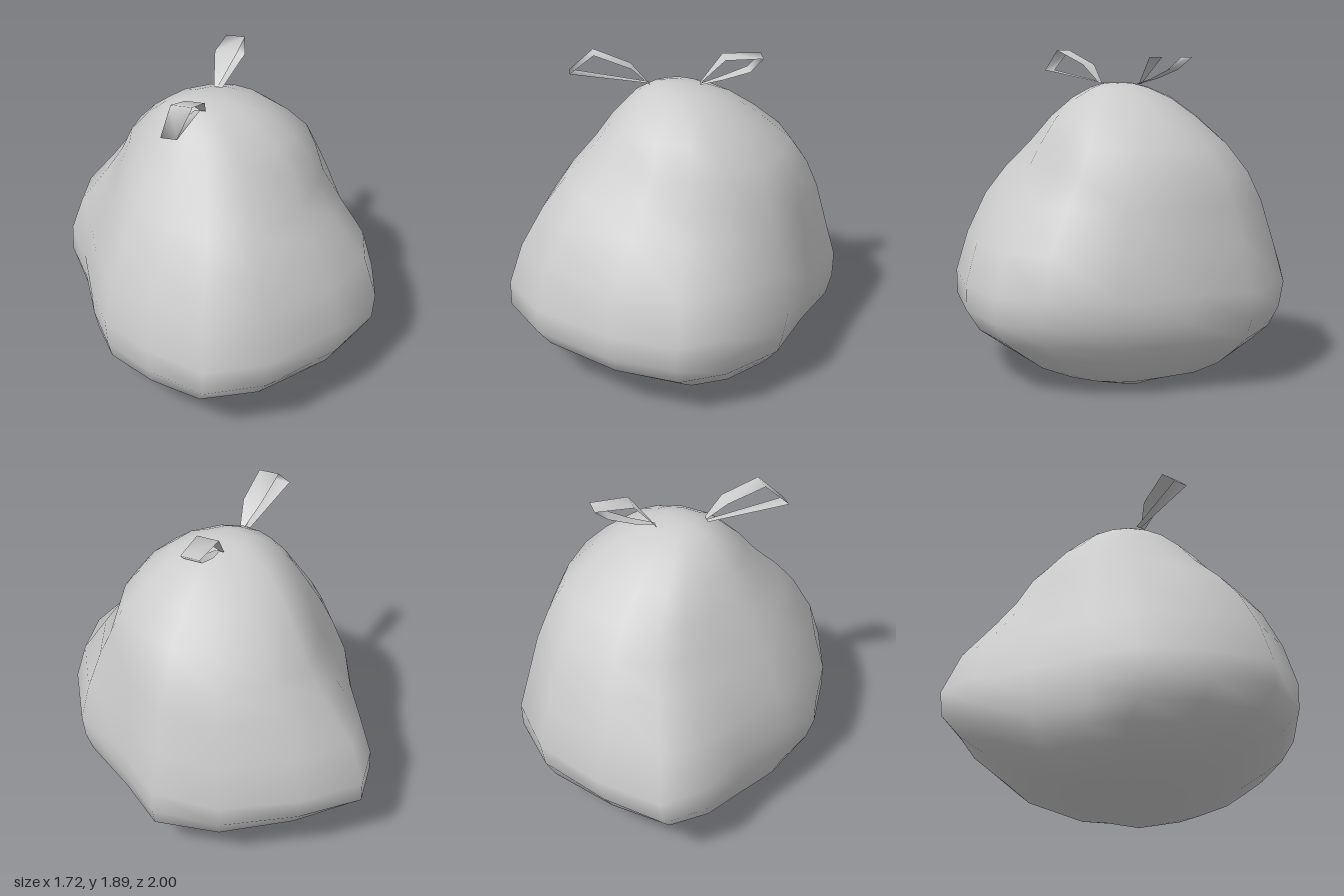
import * as THREE from 'three';

// Plan outline of the sack at its widest, clockwise seen from above: [x, z]
const OUTLINE = [
  [-0.23, -1], [0.23, -0.96], [0.56, -0.75], [0.67, -0.4], [0.86, -0.02], [0.83, 0.4],
  [0.7, 0.68], [0.35, 0.88], [-0.15, 1], [-0.51, 0.93], [-0.72, 0.63], [-0.86, 0.3],
  [-0.84, -0.02], [-0.76, -0.38], [-0.74, -0.7], [-0.61, -0.94],
];

// Extent of each level: [y, xMin, xMax, zMin, zMax]
const LEVELS = [
  [0.003, -0.43, 0.44, -0.3, 0.12],
  [0.05, -0.6, 0.56, -0.54, 0.41],
  [0.12, -0.72, 0.64, -0.7, 0.62],
  [0.2, -0.79, 0.71, -0.79, 0.76],
  [0.29, -0.83, 0.79, -0.885, 0.91],
  [0.41, -0.855, 0.835, -0.96, 0.998],
  [0.56, -0.86, 0.855, -1, 1],
  [0.8, -0.81, 0.8, -0.935, 0.93],
  [1.04, -0.715, 0.73, -0.86, 0.82],
  [1.2, -0.635, 0.665, -0.78, 0.7],
  [1.36, -0.535, 0.58, -0.65, 0.54],
  [1.51, -0.435, 0.43, -0.475, 0.41],
  [1.62, -0.34, 0.29, -0.32, 0.28],
  [1.68, -0.24, 0.15, -0.18, 0.17],
  [1.705, -0.16, 0.03, -0.08, 0.09],
];

// Dents and bulges at the corners: [x sign, z sign, amount, height, spread]
const BUMPS = [
  [1, 1, -0.2, 1.16, 0.2],
  [-1, -1, -0.11, 1.15, 0.2],
  [-1, -1, 0.03, 0.4, 0.15],
  [1, -1, 0.08, 0.25, 0.2],
  [1, 1, 0.06, 0.1, 0.15],
];

function makeGeometry(positions, indices) {
  const geometry = new THREE.BufferGeometry();
  geometry.setAttribute('position', new THREE.Float32BufferAttribute(positions, 3));
  geometry.setIndex(indices);
  geometry.computeVertexNormals();
  return geometry;
}

// Sagging body: the outline fitted to each level, rounder towards neck and base
function sackGeometry() {
  const n = OUTLINE.length, positions = [], indices = [];
  const { lerp, smoothstep } = THREE.MathUtils;
  for (const [y, x0, x1, z0, z1] of LEVELS) {
    for (const [ox, oz] of OUTLINE) {
      const baseRound = ox > 0 ? 0.35 : 0.8;
      const round = 0.9 * smoothstep(y, 0.5, 1.7) + baseRound * (1 - smoothstep(y, 0, 0.4));
      let u = ox / 0.86, v = oz;
      const r = Math.hypot(u, v);
      u = lerp(u, u / r, round);
      v = lerp(v, v / r, round);
      let scale = 1;
      for (const [sx, sz, amount, height, spread] of BUMPS) {
        const facing = Math.max(0, (sx * u + sz * v) / (Math.SQRT2 * Math.hypot(u, v)));
        scale += amount * facing ** 6 * Math.exp(-(((y - height) / spread) ** 2));
      }
      positions.push((x0 + x1) / 2 + (u * scale * (x1 - x0)) / 2, y,
        (z0 + z1) / 2 + (v * scale * (z1 - z0)) / 2);
    }
  }
  for (let i = 0; i < LEVELS.length - 1; i++) {
    for (let j = 0; j < n; j++) {
      const a = i * n + j, b = i * n + ((j + 1) % n);
      indices.push(a, a + n, b + n, a, b + n, b);
    }
  }
  // Caps under the base and over the neck
  const base = LEVELS.length * n, top = base + 1, last = base - n;
  positions.push(0, 0.02, -0.06, -0.07, 1.708, 0);
  for (let j = 0; j < n; j++) {
    const k = (j + 1) % n;
    indices.push(j, k, base, last + j, top, last + k);
  }
  return makeGeometry(positions, indices);
}

// Ribbon loop; each path point is [x, y, z, half width]
function ribbonGeometry(path) {
  const positions = [], indices = [];
  for (const [x, y, z, w] of path) {
    positions.push(x - 0.8 * w, y, z - 0.6 * w, x + 0.8 * w, y, z + 0.6 * w);
  }
  for (let i = 0; i < path.length - 1; i++) {
    const a = i * 2;
    indices.push(a, a + 1, a + 3, a, a + 3, a + 2);
  }
  return makeGeometry(positions, indices);
}

export function createModel() {
  const group = new THREE.Group();
  const add = (name, geometry, side) => {
    const mesh = new THREE.Mesh(geometry, new THREE.MeshStandardMaterial({ color: 0xcccccc, side }));
    mesh.name = name;
    group.add(mesh);
  };

  add('sack', sackGeometry(), THREE.FrontSide);

  // Tie loops at the neck
  add('rightTieLoop', ribbonGeometry([
    [-0.165, 1.7, 0.11, 0.015], [-0.24, 1.81, 0.185, 0.055], [-0.38, 1.895, 0.345, 0.06],
    [-0.49, 1.77, 0.435, 0.045], [-0.19, 1.7, 0.09, 0.015],
  ]), THREE.DoubleSide);
  add('leftTieLoop', ribbonGeometry([
    [0.01, 1.7, -0.125, 0.012], [0.11, 1.86, -0.215, 0.065], [0.247, 1.862, -0.387, 0.056],
    [0.215, 1.79, -0.31, 0.055], [0.11, 1.735, -0.205, 0.035], [0.03, 1.7, -0.105, 0.012],
  ]), THREE.DoubleSide);

  return group;
}
